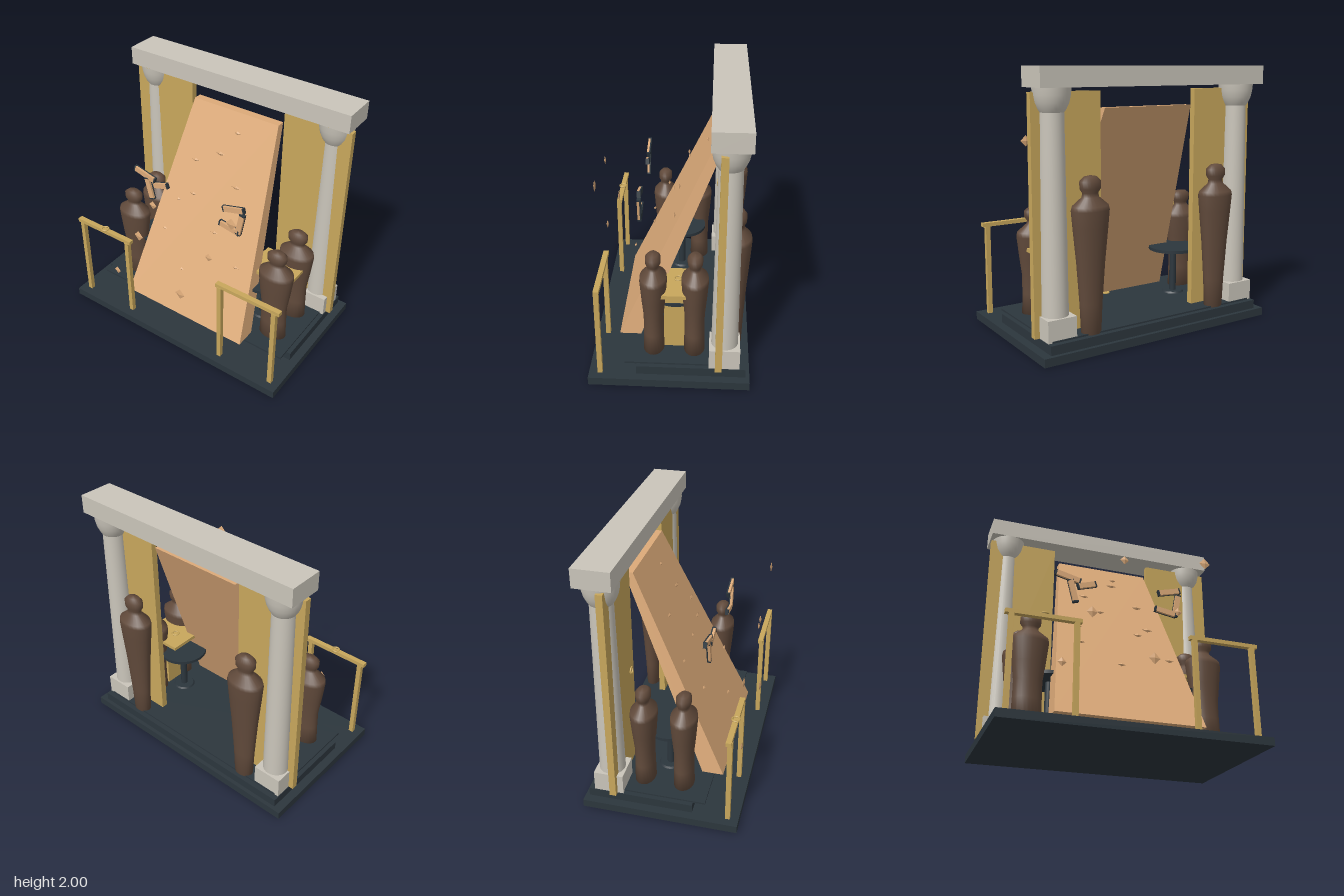
import * as THREE from 'three';

const mat = (name, color, side = THREE.FrontSide) => {
  const m = new THREE.MeshStandardMaterial({ color, side });
  m.name = name;
  return m;
};

export function createModel() {
  const root = new THREE.Group();
  const stone = mat('pale stone', 0xcac5ba);
  const brass = mat('brass', 0xc8a75c);
  const slate = mat('dark slate', 0x2c363d);
  const bronze = mat('brown bronze', 0x614a3b);
  const tan = mat('warm tan', 0xdcaa79);

  const add = (name, geo, material, x = 0, y = 0, z = 0, parent = root) => {
    const m = new THREE.Mesh(geo, material);
    m.name = name;
    m.position.set(x, y, z);
    parent.add(m);
    return m;
  };
  // Box given by its minimum and maximum on each axis
  const box = (name, material, x0, x1, y0, y1, z0, z1) =>
    add(name, new THREE.BoxGeometry(x1 - x0, y1 - y0, z1 - z0), material,
      (x0 + x1) / 2, (y0 + y1) / 2, (z0 + z1) / 2);
  const lathe = (pts, seg) =>
    new THREE.LatheGeometry(pts.map(p => new THREE.Vector2(p[0], p[1])), seg);

  // Stepped base
  box('base', slate, -0.99, 0.99, 0, 0.062, -0.59, 0.59);
  box('step', slate, -0.925, 0.925, 0.062, 0.13, -0.56, 0.24);
  box('floor', slate, -0.89, 0.89, 0.128, 0.142, -0.52, 0.33);

  // Lintel
  box('lintel', stone, -0.965, 0.962, 1.86, 2, -0.54, -0.27);

  // Columns and door panels
  const shaft = new THREE.CylinderGeometry(0.083, 0.098, 1.42, 32);
  const capital = lathe([[0.084, 1.695], [0.1, 1.72], [0.118, 1.76], [0.129, 1.81], [0.134, 1.86]], 32);
  for (const s of [-1, 1]) {
    const cx = 0.808 * s;
    add('plinth', new THREE.BoxGeometry(0.225, 0.16, 0.225), stone, cx, 0.21, -0.402);
    add('columnShaft', shaft, stone, cx, 0.99, -0.402);
    add('capital', capital, stone, cx, 0, -0.402);
    add('doorPanel', new THREE.BoxGeometry(0.543, 1.7, 0.05), brass, 0.688 * s, 0.98, -0.36);
  }

  // Leaning slab: a box whose corners follow its taper
  const slab = new THREE.BoxGeometry(1, 1, 1);
  const p = slab.attributes.position;
  for (let i = 0; i < p.count; i++) {
    const top = p.getY(i) > 0, front = p.getZ(i) > 0;
    const z = front ? (top ? -0.32 : 0.4) : (top ? -0.385 : 0.235);
    p.setXYZ(i, Math.sign(p.getX(i)) * (top ? 0.38 : 0.56), top ? 1.71 : 0.146, z);
  }
  slab.computeVertexNormals();
  add('leaningSlab', slab, tan);

  // Standing figures: oval lathes
  const shortFigure = lathe([[0, 0.14], [0.112, 0.14], [0.107, 0.3], [0.106, 0.44], [0.125, 0.58],
    [0.143, 0.74], [0.138, 0.775], [0.062, 0.835], [0.058, 0.86], [0.078, 0.885], [0.08, 0.93],
    [0.05, 0.955], [0, 0.963]], 24);
  const tallFigure = lathe([[0, 0.13], [0.078, 0.13], [0.088, 0.35], [0.11, 0.65], [0.135, 0.9],
    [0.146, 1.02], [0.138, 1.05], [0.066, 1.11], [0.06, 1.14], [0.08, 1.17], [0.082, 1.22],
    [0.05, 1.252], [0, 1.262]], 24);
  for (const s of [-1, 1]) {
    for (const z of [0.125, -0.178]) {
      add('figure', shortFigure, bronze, 0.692 * s, 0, z).scale.z = 0.7;
    }
    add('rearFigure', tallFigure, bronze, 0.56 * s, 0, -0.478).scale.z = 0.7;
  }

  // Front railings
  for (const s of [-1, 1]) {
    for (const x of [0.445, 0.91]) {
      add('railPost', new THREE.BoxGeometry(0.036, 0.71, 0.036), brass, x * s, 0.415, 0.508);
    }
    add('handrail', new THREE.BoxGeometry(0.545, 0.03, 0.04), brass, 0.682 * s, 0.78, 0.502);
  }

  // Round pedestal tables
  for (const s of [-1, 1]) {
    const table = new THREE.Group();
    table.name = 'roundTable';
    table.position.set(0.5 * s, 0, -0.03);
    root.add(table);
    add('tableTop', new THREE.CylinderGeometry(0.2, 0.2, 0.025, 32), slate, 0, 0.52, 0, table);
    add('tableStem', new THREE.CylinderGeometry(0.028, 0.028, 0.37, 16), slate, 0, 0.33, 0, table);
    add('tableFoot', new THREE.CylinderGeometry(0.08, 0.09, 0.016, 24), slate, 0, 0.148, 0, table);
  }

  // Brass desk
  box('deskPedestal', brass, 0.61, 0.685, 0.14, 0.64, -0.11, 0.05);
  box('deskTop', brass, 0.42, 0.79, 0.637, 0.665, -0.2, 0.1);

  // Small rings
  const ring = new THREE.TorusGeometry(0.028, 0.006, 8, 24);
  add('deskRing', ring, brass, 0.56, 0.668, -0.05).rotation.x = Math.PI / 2;
  add('railRing', ring, brass, -0.68, 0.798, 0.502).rotation.x = Math.PI / 2;
  add('doorRing', ring, brass, -0.48, 0.95, -0.33);
  add('floorKnob', new THREE.CylinderGeometry(0.034, 0.034, 0.022, 20), brass, 0, 0.138, 0.225);

  // Floating bars: tan fronts in dark trays, given by end points
  const bars = [
    [-0.55, 1.295, -0.35, 1.245], [-0.432, 1.25, -0.385, 1.065], [-0.375, 1.2, -0.228, 1.245],
    [0.28, 1.255, 0.465, 1.305], [0.45, 1.265, 0.415, 1.075], [0.25, 1.118, 0.425, 1.088]
  ];
  for (const [x0, y0, x1, y1] of bars) {
    const len = Math.hypot(x1 - x0, y1 - y0);
    const bar = new THREE.Group();
    bar.name = 'floatingBar';
    bar.position.set((x0 + x1) / 2, (y0 + y1) / 2, 0.24);
    bar.rotation.z = Math.atan2(y1 - y0, x1 - x0);
    root.add(bar);
    add('barBack', new THREE.BoxGeometry(len, 0.045, 0.01), slate, 0, 0, -0.008, bar);
    add('barFront', new THREE.BoxGeometry(len - 0.024, 0.042, 0.018), tan, 0, 0, 0.006, bar);
    for (const s of [-1, 1]) {
      add('barEnd', new THREE.BoxGeometry(0.012, 0.045, 0.018), slate, s * (len / 2 - 0.006), 0, 0.006, bar);
    }
  }

  // Floating diamonds: x, y, z, half width, half height
  const diamonds = [
    [0.07, 1.58, -0.243, 0.03, 0.015], [0.01, 1.448, -0.105, 0.045, 0.018],
    [-0.22, 1.312, -0.1, 0.037, 0.016], [0.205, 1.247, -0.038, 0.045, 0.018],
    [-0.133, 1.112, 0.055, 0.034, 0.016], [0.283, 1.045, -0.005, 0.045, 0.018],
    [-0.3, 0.977, 0.03, 0.03, 0.013], [0.14, 0.911, 0.155, 0.036, 0.016],
    [-0.322, 0.776, 0.19, 0.03, 0.013], [0.373, 0.709, 0.205, 0.036, 0.016],
    [-0.055, 0.574, 0.33, 0.03, 0.013],
    [0.55, 1.41, 0.537, 0.045, 0.046], [-0.112, 1.303, 0.56, 0.034, 0.034],
    [0.33, 0.982, 0.493, 0.032, 0.034], [-0.333, 0.878, 0.493, 0.042, 0.046],
    [0.108, 0.556, 0.558, 0.044, 0.046], [-0.553, 0.45, 0.532, 0.032, 0.034]
  ];
  const gem = new THREE.OctahedronGeometry(1);
  for (const [x, y, z, w, h] of diamonds) {
    add('diamond', gem, tan, x, y, z).scale.set(w, h, 0.009);
  }
  return root;
}
